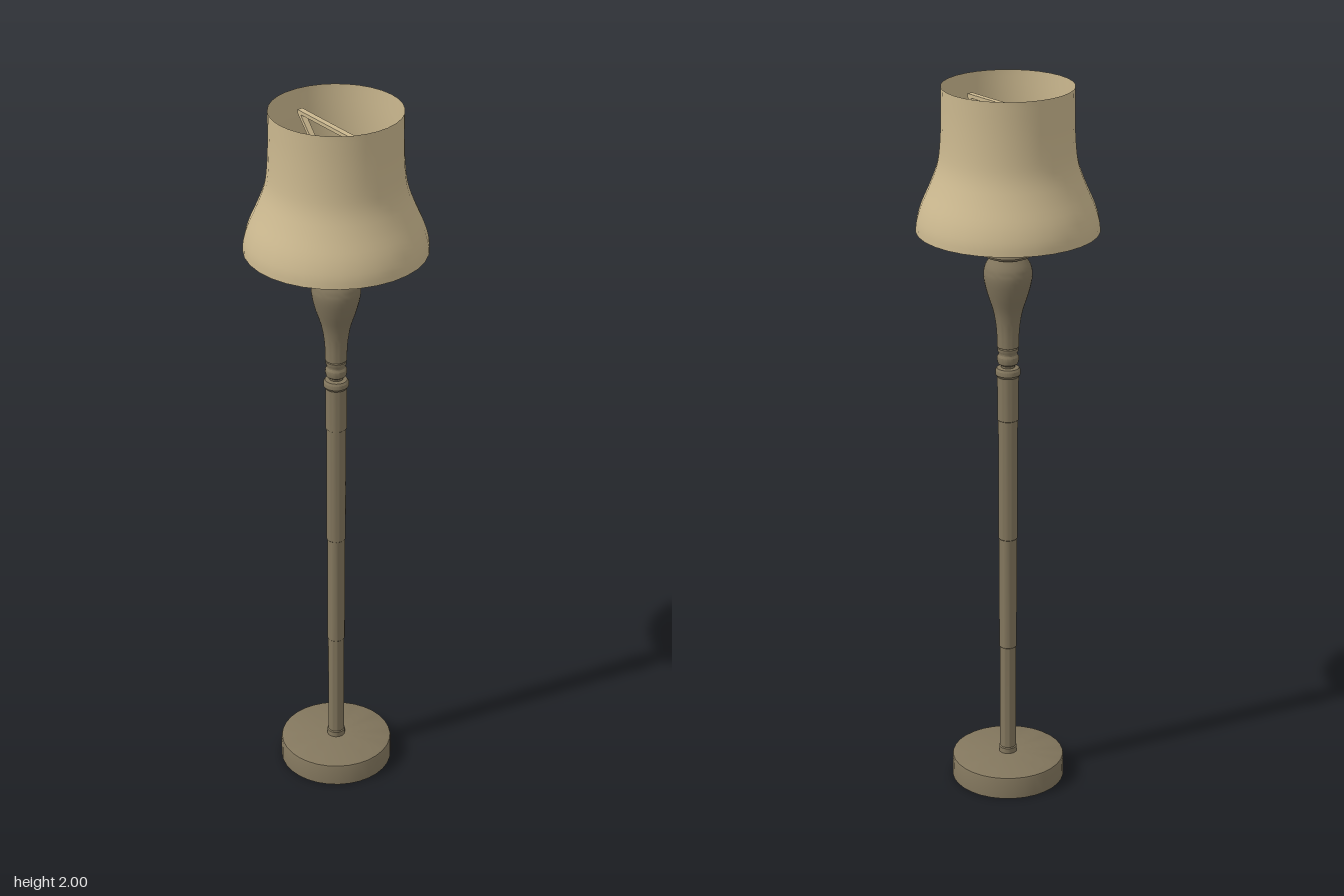
import * as THREE from 'three';
import { toCreasedNormals } from 'three/addons/utils/BufferGeometryUtils.js';

const SIDES = 32;
const bronze = new THREE.MeshStandardMaterial({ color: 0x82765d });
const bronzeThin = new THREE.MeshStandardMaterial({ color: 0x82765d, side: THREE.DoubleSide });
const cloth = new THREE.MeshStandardMaterial({ color: 0xcbb88f, side: THREE.DoubleSide });
const brass = new THREE.MeshStandardMaterial({ color: 0xcbb88f });

// Turned part from [radius, height] pairs listed bottom to top
function turned(name, profile, material, crease = 0.6) {
  const points = profile.map(([r, y]) => new THREE.Vector2(r, y));
  const mesh = new THREE.Mesh(toCreasedNormals(new THREE.LatheGeometry(points, SIDES), crease), material);
  mesh.name = name;
  return mesh;
}

// Flat bar between two points in the z = 0 plane
function bar(name, x0, y0, x1, y1) {
  const mesh = new THREE.Mesh(
    new THREE.BoxGeometry(Math.hypot(x1 - x0, y1 - y0), 0.01, 0.016), brass);
  mesh.position.set((x0 + x1) / 2, (y0 + y1) / 2, 0);
  mesh.rotation.z = Math.atan2(y1 - y0, x1 - x0);
  mesh.name = name;
  return mesh;
}

// Smooth profile through a few control points
function smoothProfile(pairs, count) {
  const curve = new THREE.SplineCurve(pairs.map(([r, y]) => new THREE.Vector2(r, y)));
  return curve.getPoints(count).map((p) => [p.x, p.y]);
}

export function createModel() {
  const lamp = new THREE.Group();
  lamp.name = 'floorLamp';

  // Round foot, hollow underneath
  lamp.add(turned('base', [
    [0.158, 0], [0.158, 0.058], [0.156, 0.063], [0.15, 0.066], [0.02, 0.07],
  ], bronzeThin));

  // Pole in slightly widening sections, with a collar at each end
  lamp.add(turned('pole', [
    [0, 0.055], [0.014, 0.06], [0.025, 0.065], [0.025, 0.085], [0.0225, 0.088],
    [0.0225, 0.4], [0.0245, 0.402], [0.0245, 0.73], [0.0265, 0.732],
    [0.0265, 1.08], [0.029, 1.082], [0.029, 1.205], [0.034, 1.212],
    [0.034, 1.224], [0.03, 1.23], [0.018, 1.232],
  ], bronze));

  // Beaded neck
  lamp.add(turned('neck', [
    [0.018, 1.228], [0.02, 1.238], [0.027, 1.243], [0.029, 1.252], [0.029, 1.262],
    [0.025, 1.268], [0.025, 1.273], [0.028, 1.278], [0.028, 1.286], [0.024, 1.29],
  ], bronze));

  // Vase shaped turning
  lamp.add(turned('vase', [
    [0.02, 1.288],
    ...smoothProfile([
      [0.029, 1.29], [0.031, 1.34], [0.039, 1.39], [0.055, 1.44],
      [0.065, 1.485], [0.062, 1.515], [0.048, 1.54],
    ], 20),
    [0.045, 1.545],
  ], bronze));

  // Ring, flared cup and the stem that carries the shade
  lamp.add(turned('cup', [
    [0.045, 1.54], [0.06, 1.545], [0.063, 1.551], [0.06, 1.558], [0.05, 1.562],
    [0.047, 1.575], [0.049, 1.593], [0.058, 1.61], [0.065, 1.62], [0.064, 1.627],
    [0.05, 1.64], [0.03, 1.652], [0.013, 1.66],
  ], bronze));
  lamp.add(turned('stem', [
    [0.013, 1.655], [0.012, 1.68], [0.015, 1.715], [0.021, 1.745], [0.024, 1.762],
    [0.022, 1.774], [0.014, 1.783], [0, 1.787],
  ], bronze, 1));

  // Triangular shade carrier
  const carrier = new THREE.Group();
  carrier.name = 'shadeCarrier';
  carrier.add(bar('crossBar', -0.158, 1.945, 0.158, 1.945));
  for (const side of [-1, 1]) carrier.add(bar('carrierArm', 0, 1.775, side * 0.153, 1.943));
  lamp.add(carrier);

  // Open bell shade
  lamp.add(turned('shade', smoothProfile([
    [0.243, 1.615], [0.24, 1.645], [0.228, 1.685], [0.204, 1.74],
    [0.186, 1.79], [0.178, 1.84], [0.174, 1.92], [0.174, 2],
  ], 24), cloth, 1));

  return lamp;
}
